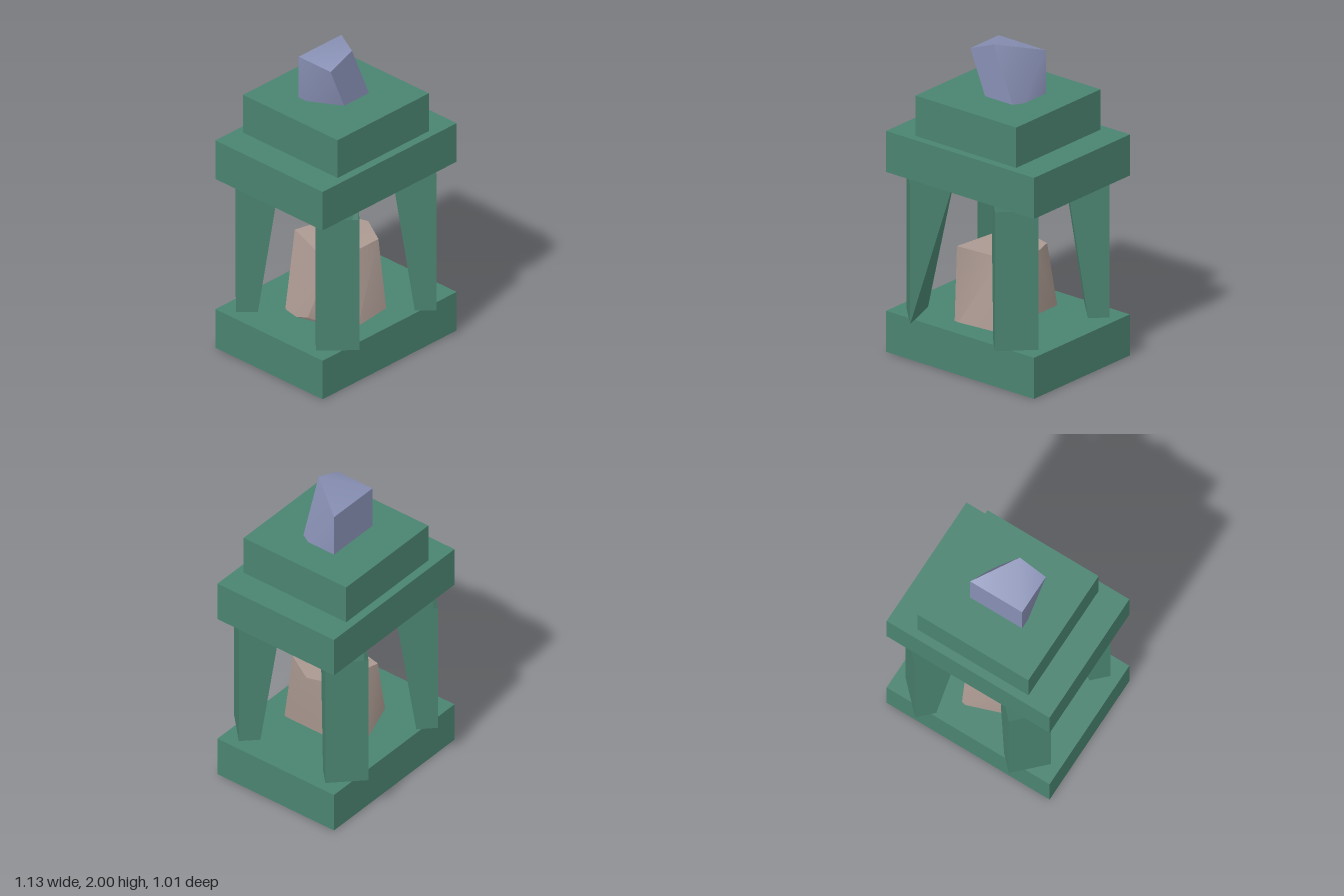
import * as THREE from 'three';
import { toCreasedNormals } from 'three/addons/utils/BufferGeometryUtils.js';
import { ConvexGeometry } from 'three/addons/geometries/ConvexGeometry.js';

const green = new THREE.MeshStandardMaterial({ color: 0x4a8370, side: THREE.DoubleSide });
green.name = 'patinaGreen';
const blue = new THREE.MeshStandardMaterial({ color: 0x8890b4 });
blue.name = 'crystalBlue';
const pink = new THREE.MeshStandardMaterial({ color: 0xab9991 });
pink.name = 'stonePink';

function addPart(group, name, geometry, material) {
  const mesh = new THREE.Mesh(geometry, material);
  mesh.name = name;
  group.add(mesh);
  return mesh;
}

// Rectangular slab between two heights
function slab(width, depth, y0, y1) {
  return new THREE.BoxGeometry(width, y1 - y0, depth).translate(0, (y0 + y1) / 2, 0);
}

// Faceted solid around a few corner points
function rock(points, crease) {
  const hull = new ConvexGeometry(points.map((p) => new THREE.Vector3(...p)));
  return toCreasedNormals(hull, crease);
}

// Open post: a diamond at the top, thinner on the inner side at the bottom
function postGeometry(pointed) {
  const top = [[0.325, 0.505], [0.505, 0.325], [0.325, 0.145], [0.145, 0.325]];
  const bottom = [[0.325, 0.505], [0.505, 0.325], [0.415, 0.235], [0.235, 0.415]];
  if (pointed) bottom[3] = bottom[0];
  const pos = [];
  const put = ([x, z], y) => pos.push(x, y, z);
  for (let i = 0; i < 4; i++) {
    const j = (i + 1) % 4;
    if (bottom[i] !== bottom[j]) {
      put(bottom[i], 0.26); put(bottom[j], 0.26); put(top[j], 1.14);
    }
    put(bottom[i], 0.26); put(top[j], 1.14); put(top[i], 1.14);
  }
  const geo = new THREE.BufferGeometry();
  geo.setAttribute('position', new THREE.Float32BufferAttribute(pos, 3));
  geo.computeVertexNormals();
  return geo;
}

export function createModel() {
  const model = new THREE.Group();
  model.name = 'stoneLantern';

  // Base, roof and cap
  addPart(model, 'base', slab(1.13, 0.875, 0, 0.26), green);
  addPart(model, 'roof', slab(1.13, 0.875, 1.14, 1.4), green);
  addPart(model, 'cap', slab(0.77, 0.77, 1.4, 1.655), green);

  // Four mirrored posts; the front right one ends in a point
  for (const sx of [-1, 1]) {
    for (const sz of [-1, 1]) {
      const name = (sz > 0 ? 'front' : 'back') + (sx > 0 ? 'Left' : 'Right') + 'Post';
      const post = addPart(model, name, postGeometry(sx < 0 && sz > 0), green);
      post.scale.set(sx, 1, sz);
    }
  }

  // Crystal finial: tilted front face, square back, sunk into the cap
  addPart(model, 'crystal', rock([
    [-0.18, 1.93, 0.13], [0, 2, 0.13], [0.18, 1.565, 0.13], [0, 1.495, 0.13],
    [-0.18, 1.93, -0.13], [0.18, 1.93, -0.13], [0.18, 1.565, -0.13], [-0.18, 1.565, -0.13],
  ], 0.9), blue);

  // Stone resting inside, sunk a little into the base
  addPart(model, 'stone', rock([
    [-0.24, 0.675, 0.18], [0.13, 0.71, 0.22], [0.24, 0.71, 0.03], [0.19, 0.71, -0.13], [-0.13, 0.71, -0.21],
    [-0.15, 0.22, 0.31], [-0.31, 0.3, 0.07], [-0.29, 0.22, -0.14], [0.14, 0.22, 0.28], [0.14, 0.22, -0.29],
  ], 0.9), pink);

  return model;
}
